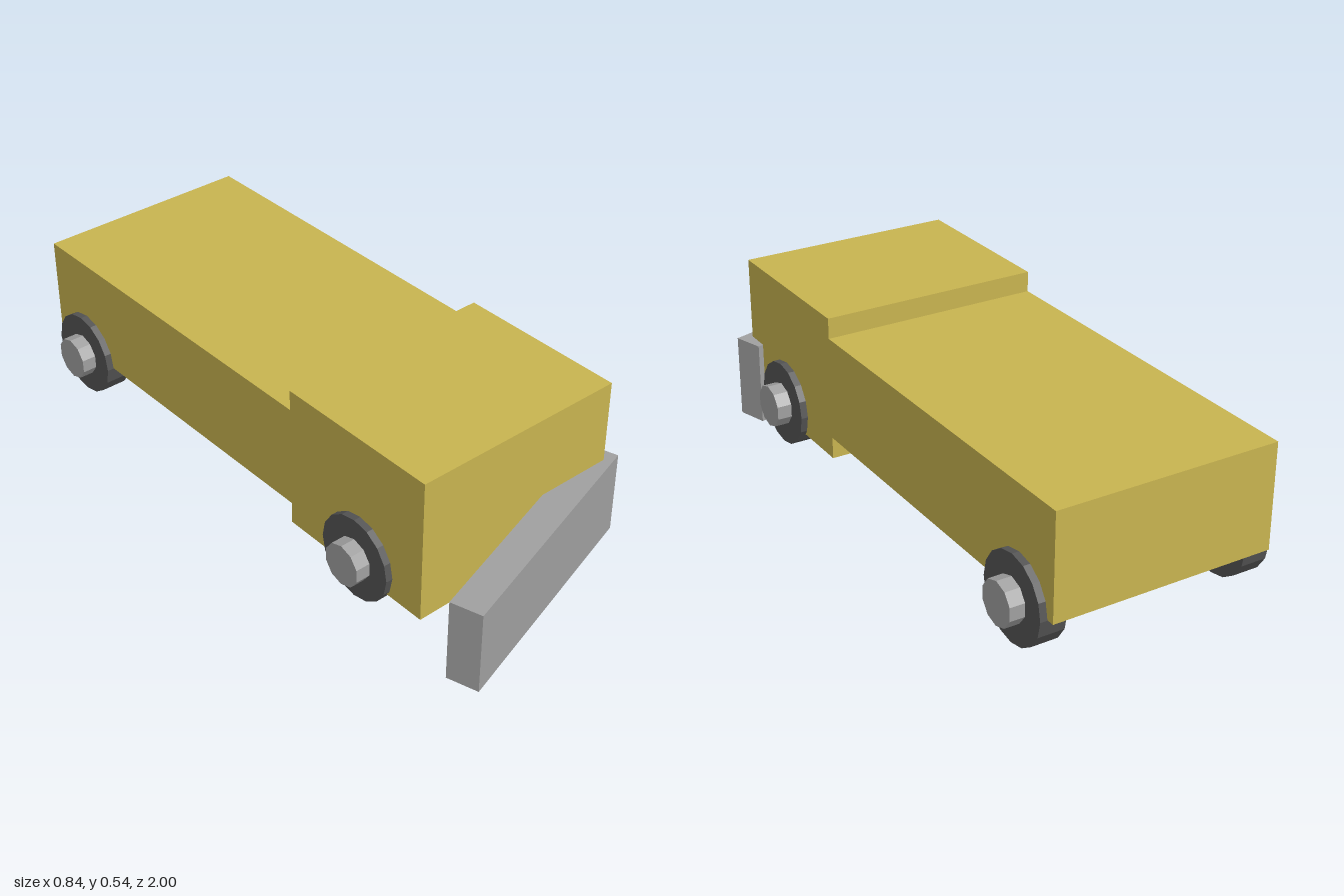
import * as THREE from 'three';

export function createModel() {
  const model = new THREE.Group();
  const material = (name, color) => {
    const m = new THREE.MeshStandardMaterial({ color, flatShading: true });
    m.name = name;
    return m;
  };
  const yellow = material('yellow body', 0xc8b450);
  const grey = material('grey metal', 0xa0a0a0);
  const rubber = material('dark rubber', 0x555555);

  const add = (name, geometry, mat, x, y, z, parent = model) => {
    const mesh = new THREE.Mesh(geometry, mat);
    mesh.name = name;
    mesh.position.set(x, y, z);
    parent.add(mesh);
    return mesh;
  };

  // Body: tall cab in front, longer bed behind
  add('cab', new THREE.BoxGeometry(0.704, 0.465, 0.55), yellow, 0, 0.3025, 0.475);
  add('bed', new THREE.BoxGeometry(0.704, 0.33, 1.2), yellow, 0, 0.305, -0.4);

  // Angled plow blade
  const plow = add('plowBlade', new THREE.BoxGeometry(0.806, 0.268, 0.1), grey, 0, 0.134, 0.834);
  plow.rotation.y = 0.3;

  // Wheels with protruding hubs, axis along x
  const disc = (radius, width, sides) =>
    new THREE.CylinderGeometry(radius, radius, width, sides, 1, false, Math.PI / 2).rotateZ(Math.PI / 2);
  const tireGeometry = disc(0.135, 0.083, 16);
  const hubGeometry = disc(0.068, 0.12, 10);
  for (const [place, z] of [['front', 0.5], ['rear', -0.84]]) {
    for (const [side, s] of [['Left', 1], ['Right', -1]]) {
      const wheel = new THREE.Group();
      wheel.name = `${place}${side}Wheel`;
      wheel.position.set(0, 0.139, z);
      add('tire', tireGeometry, rubber, s * 0.3325, 0, 0, wheel);
      add('hub', hubGeometry, grey, s * 0.361, 0, 0, wheel);
      model.add(wheel);
    }
  }
  return model;
}
